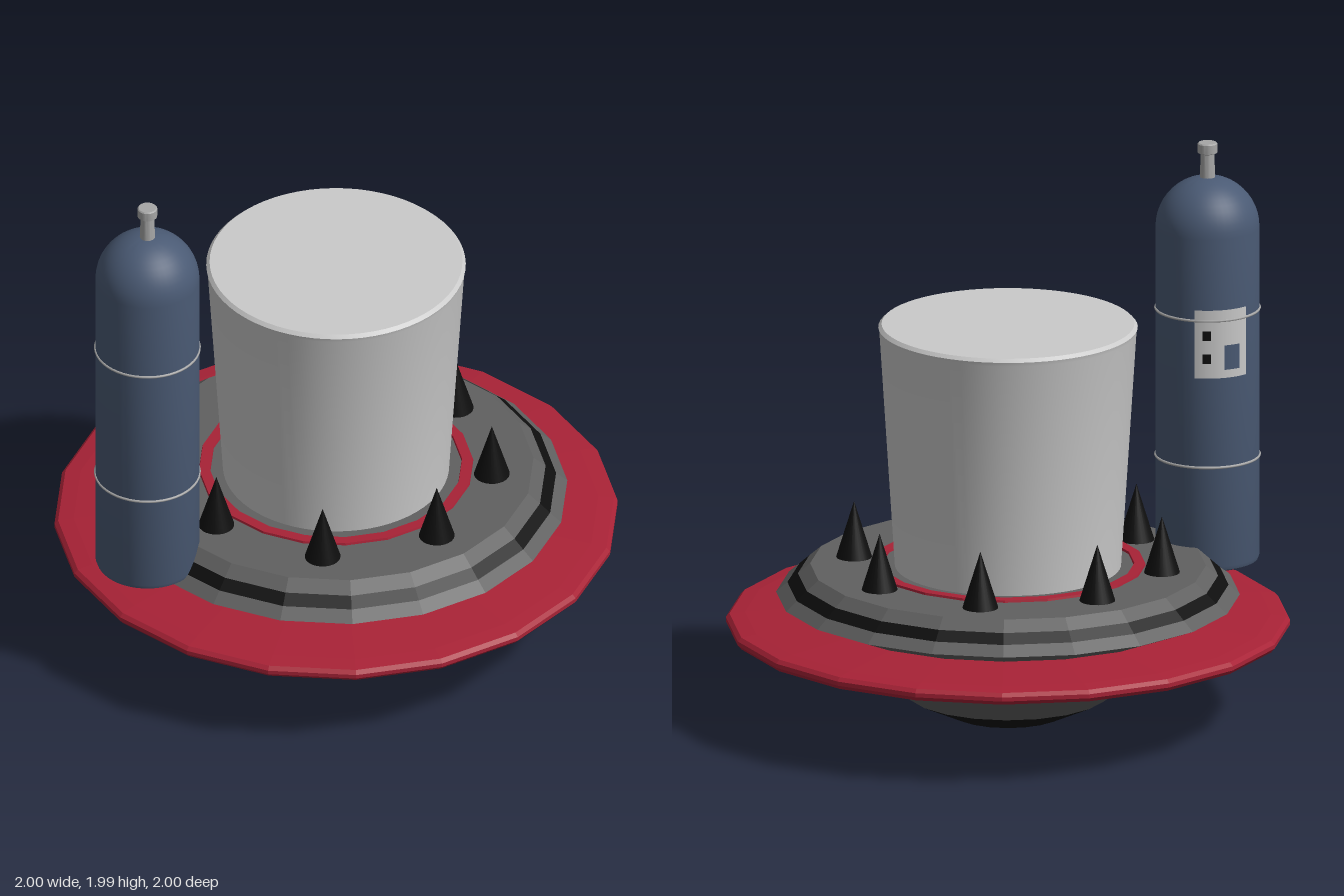
import * as THREE from 'three';
import { toCreasedNormals } from 'three/addons/utils/BufferGeometryUtils.js';

const paint = (name, color) => {
  const m = new THREE.MeshStandardMaterial({ color });
  m.name = name;
  return m;
};

export function createModel() {
  const model = new THREE.Group();
  model.name = 'spikedSaucer';

  const red = paint('red', 0xa82236);
  const grey = paint('dark grey', 0x606060);
  const black = paint('black', 0x0e0e0e);
  const pale = paint('pale grey', 0xcacaca);
  const blue = paint('slate blue', 0x4a5a74);
  const metal = paint('metal grey', 0xa6a6a6);
  const glass = paint('teal glass', 0x80bcc0);

  const add = (name, geometry, material, parent = model) => {
    const mesh = new THREE.Mesh(geometry, material);
    mesh.name = name;
    parent.add(mesh);
    return mesh;
  };
  const points = (profile) => profile.map(([r, y]) => new THREE.Vector2(r, y));

  // Profiles run from the bottom upwards (or from the axis outwards underneath)
  const faceted = (profile) => {
    const g = new THREE.LatheGeometry(points(profile), 20).toNonIndexed();
    g.computeVertexNormals();
    return g;
  };
  const turned = (profile, sides = 48) =>
    toCreasedNormals(new THREE.LatheGeometry(points(profile), sides), 0.5);

  // Underside: recessed lens, black base, bowl and seam ring
  add('lens', new THREE.CircleGeometry(0.2, 40).rotateX(Math.PI / 2).translate(0, 0.03, 0), glass);
  add('lensWall', turned([[0.19, 0.03], [0.19, 0.002]]), pale);
  add('base', faceted([[0.19, 0], [0.2, 0], [0.36, 0.075]]), black);
  add('bowl', faceted([[0.36, 0.075], [0.615, 0.285]]), grey);
  add('seamRing', faceted([[0.615, 0.285], [0.68, 0.298]]), black);

  // Wide flat rim
  add('rim', faceted([
    [0.66, 0.296], [0.95, 0.308], [0.985, 0.315], [0.998, 0.33],
    [0.998, 0.345], [0.985, 0.358], [0.93, 0.366], [0.64, 0.392],
  ]), red);

  // Upper deck with a black stripe
  add('deckLower', faceted([[0.66, 0.375], [0.82, 0.44], [0.78, 0.475]]), grey);
  add('deckStripe', faceted([[0.78, 0.475], [0.743, 0.508]]), black);
  add('deckUpper', faceted([[0.743, 0.508], [0.7, 0.545], [0.3, 0.545]]), grey);
  add('collar', faceted([[0.487, 0.545], [0.485, 0.553], [0.447, 0.553], [0.445, 0.545]]), red);

  // Tall flared drum
  add('drum', turned([
    [0.4, 0.54], [0.455, 1.405], [0.459, 1.42], [0.447, 1.432], [0, 1.432],
  ], 64), pale);

  // Ring of eight spikes
  for (let i = 0; i < 8; i++) {
    const a = (i * Math.PI) / 4;
    const spike = add('spike', new THREE.ConeGeometry(0.065, 0.21, 24), black);
    spike.position.set(0.553 * Math.sin(a), 0.645, 0.553 * Math.cos(a));
  }

  // Two rings lying on the bowl
  const slope = new THREE.Vector2(0.635, -0.772);
  for (const degrees of [90, 210]) {
    const a = THREE.MathUtils.degToRad(degrees);
    const normal = new THREE.Vector3(slope.x * Math.sin(a), slope.y, slope.x * Math.cos(a));
    const ring = add('bowlRing', new THREE.TorusGeometry(0.058, 0.028, 12, 32), red);
    ring.position.set(0.542 * Math.sin(a), 0.215, 0.542 * Math.cos(a));
    ring.quaternion.setFromUnitVectors(new THREE.Vector3(0, 0, 1), normal);
  }

  // Gas tank standing beside the drum
  const tank = new THREE.Group();
  tank.name = 'tank';
  tank.position.set(-0.8, 0, -0.085);
  model.add(tank);

  const R = 0.184;
  const body = [[0, 0.453], [0.165, 0.453], [0.179, 0.46], [R, 0.475]];
  for (let i = 0; i <= 12; i++) {
    const t = (i / 12) * (Math.PI / 2);
    body.push([i === 12 ? 0 : R * Math.cos(t), 1.678 + R * Math.sin(t)]);
  }
  add('tankBody', turned(body), blue, tank);
  add('valve', turned([
    [0.028, 1.84], [0.024, 1.945], [0.035, 1.95], [0.035, 1.982], [0.031, 1.986], [0, 1.986],
  ], 20), metal, tank);
  for (const y of [0.84, 1.38]) {
    add('tankBand', new THREE.TorusGeometry(R, 0.005, 8, 48).rotateX(Math.PI / 2).translate(0, y, 0), metal, tank);
  }

  // Label plate wrapped round the back of the tank, with three marks
  const plate = (name, lift, from, to, y0, y1, material) => {
    const rad = THREE.MathUtils.degToRad;
    const g = new THREE.CylinderGeometry(R + lift, R + lift, y1 - y0, 14, 1, true, rad(from), rad(to - from));
    add(name, g.translate(0, (y0 + y1) / 2, 0), material, tank);
  };
  plate('label', 0.003, 131, 192, 1.17, 1.42, pale);
  plate('labelPanel', 0.005, 164, 182, 1.2, 1.29, blue);
  plate('labelMark', 0.005, 140, 149, 1.31, 1.345, black);
  plate('labelMark', 0.005, 140, 149, 1.225, 1.26, black);

  return model;
}
